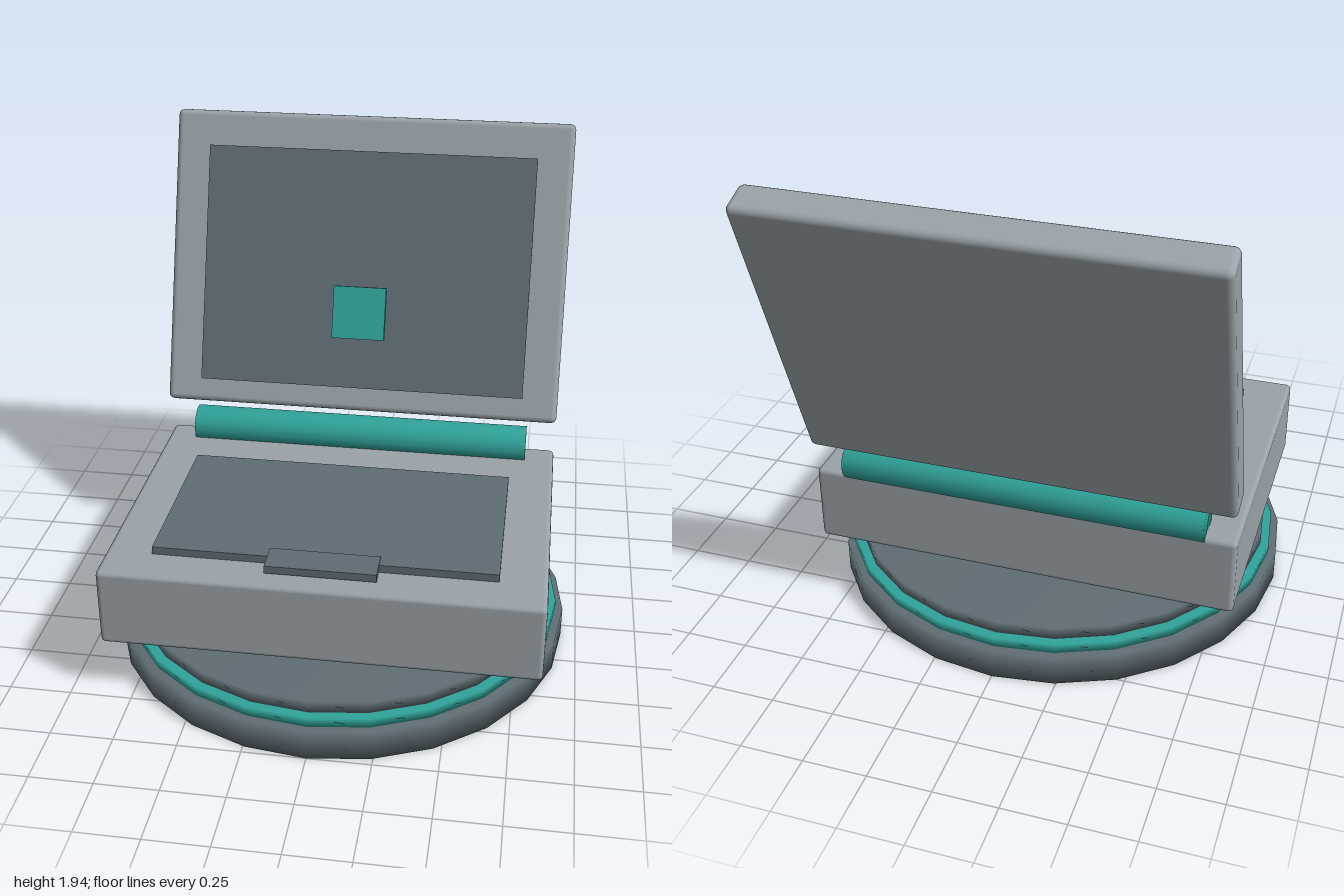
import * as THREE from 'three';
import { RoundedBoxGeometry } from 'three/addons/geometries/RoundedBoxGeometry.js';

function material(name, color) {
  const m = new THREE.MeshStandardMaterial({ color });
  m.name = name;
  return m;
}

export function createModel() {
  const grey = material('shell grey', 0x9aa3a9);
  const slate = material('dark slate', 0x5f6d74);
  const teal = material('teal', 0x30a39a);
  const model = new THREE.Group();
  model.name = 'laptopOnPedestal';

  function add(parent, name, geometry, mat, x, y, z) {
    const mesh = new THREE.Mesh(geometry, mat);
    mesh.name = name;
    mesh.position.set(x, y, z);
    parent.add(mesh);
    return mesh;
  }

  // Solid disc with softly shaded rims, standing on its own origin
  function disc(radius, height, sides) {
    const profile = [[0, 0], [radius, 0], [radius, height], [0, height]];
    return new THREE.LatheGeometry(profile.map(([x, y]) => new THREE.Vector2(x, y)), sides);
  }

  // Round pedestal in three steps
  const baseZ = 0.062;
  add(model, 'pedestalBase', disc(0.938, 0.125, 24), slate, 0, 0, baseZ);
  add(model, 'pedestalRing', disc(0.907, 0.04, 24), teal, 0, 0.125, baseZ);
  add(model, 'pedestalTop', disc(0.872, 0.05, 24), slate, 0, 0.165, baseZ);

  // Body with keyboard plate and front tab
  add(model, 'body', new RoundedBoxGeometry(1.726, 0.328, 1.255, 2, 0.02), grey, 0, 0.407, 0.1);
  add(model, 'keyboardPlate', new THREE.BoxGeometry(1.354, 0.04, 0.755), slate, 0, 0.583, 0.189);
  add(model, 'frontTab', new THREE.BoxGeometry(0.434, 0.032, 0.13), slate, 0, 0.593, 0.58);

  // Hinge rod across the back
  const hinge = add(model, 'hinge', disc(0.08, 1.476, 16), teal, 0.738, 0.615, -0.473);
  hinge.rotation.z = Math.PI / 2;

  // Tilted lid with display and the floating square in front of it
  const lid = new THREE.Group();
  lid.name = 'lid';
  lid.position.set(0, 1.326, -0.711);
  lid.rotation.x = -THREE.MathUtils.degToRad(20);
  model.add(lid);
  add(lid, 'lidShell', new RoundedBoxGeometry(1.726, 1.28, 0.14, 2, 0.025), grey, 0, 0, 0);
  add(lid, 'display', new THREE.BoxGeometry(1.422, 1.026, 0.04), slate, 0, -0.025, 0.066);
  add(lid, 'floatingSquare', new THREE.BoxGeometry(0.224, 0.222, 0.034), teal, 0, -0.2, 0.231);

  return model;
}
